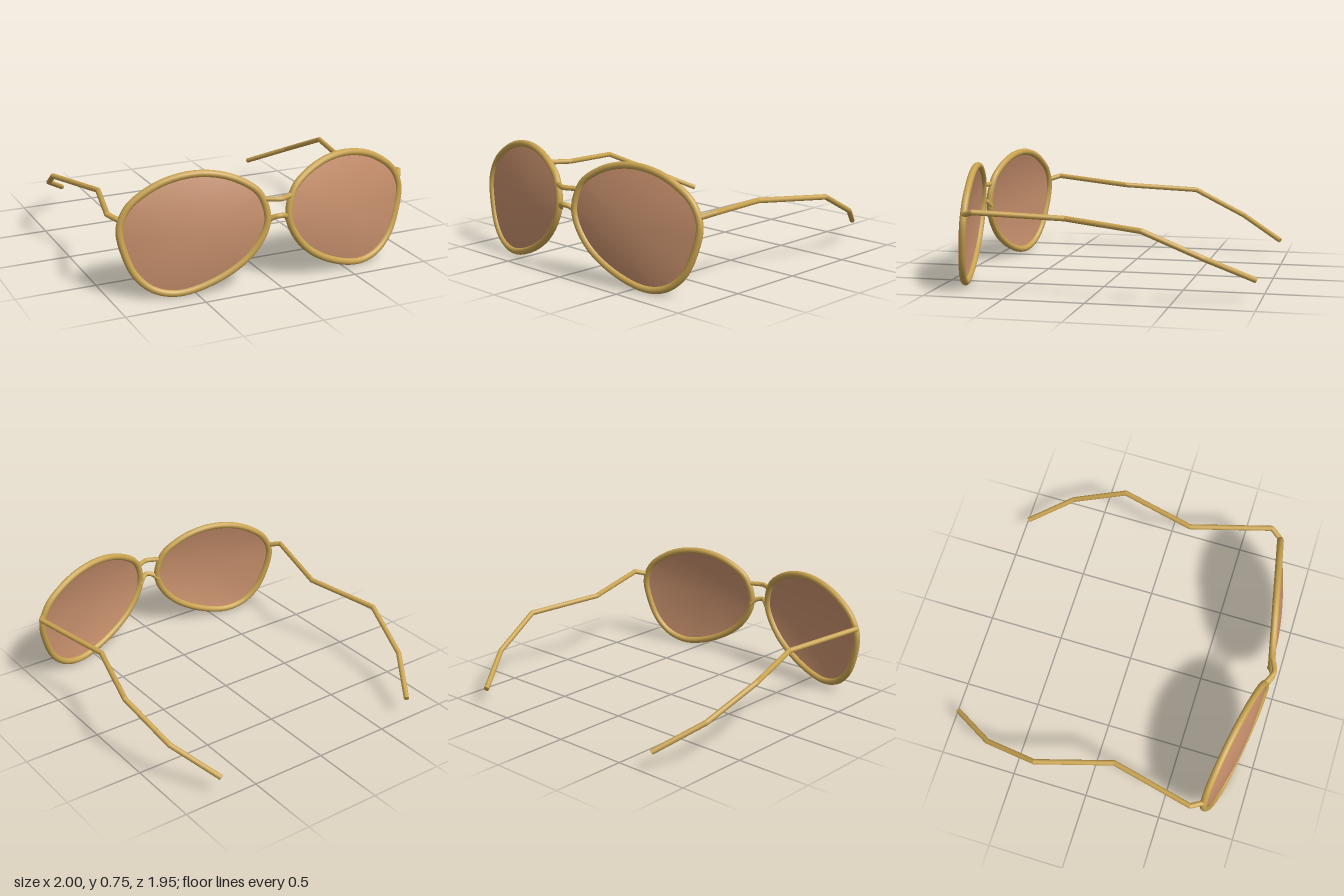
import * as THREE from 'three';

const V = (x, y, z) => new THREE.Vector3(x, y, z);

// Outline of one lens (centre line of the rim), seen from the front
const OUTLINE = [
  [0.49, 0.742], [0.65, 0.715], [0.78, 0.655], [0.885, 0.57], [0.938, 0.45],
  [0.91, 0.28], [0.85, 0.15], [0.75, 0.062], [0.61, 0.031], [0.39, 0.09],
  [0.195, 0.213], [0.09, 0.36], [0.071, 0.46], [0.115, 0.595], [0.21, 0.672], [0.34, 0.725],
];

// Plane of the lens: swept back to the outside and tilted forward at the bottom
const planeZ = (x, y) => 0.93 - 0.195 * (x - 0.07) - 0.078 * (y - 0.45);

// Domed lens made of rings that grow from the centre to the rim
function lensGeometry(outline, side) {
  const cx = 0.5, cy = 0.4, rings = 12, n = outline.length;
  const pos = [], index = [];
  for (let r = 0; r <= rings; r++) {
    const s = Math.max(r / rings, 0.001);
    for (const p of outline) {
      const x = cx + (p.x - cx) * s, y = cy + (p.y - cy) * s;
      pos.push(side * x, y, planeZ(x, y) + 0.045 * (1 - s * s));
    }
  }
  for (let r = 0; r < rings; r++) {
    for (let i = 0; i < n; i++) {
      const a = r * n + i, b = r * n + (i + 1) % n, c = a + n, d = b + n;
      // the outline runs clockwise on the +x side
      if (side > 0) index.push(a, b, c, b, d, c);
      else index.push(a, c, b, b, c, d);
    }
  }
  const g = new THREE.BufferGeometry();
  g.setAttribute('position', new THREE.Float32BufferAttribute(pos, 3));
  g.setIndex(index);
  g.computeVertexNormals();
  return g;
}

export function createModel() {
  const gold = new THREE.MeshStandardMaterial({ color: 0xc9a350 });
  gold.name = 'gold metal';
  const tint = new THREE.MeshStandardMaterial({ color: 0xc68f6c, side: THREE.DoubleSide });
  tint.name = 'brown lens';

  const model = new THREE.Group();
  model.name = 'sunglasses';
  const add = (parent, name, geometry, material) => {
    const mesh = new THREE.Mesh(geometry, material);
    mesh.name = name;
    parent.add(mesh);
    return mesh;
  };

  // Straight wire pieces with rounded joints at the bends
  const wire = (name, points, radius) => {
    const group = new THREE.Group();
    group.name = name;
    for (let i = 0; i < points.length - 1; i++) {
      const a = points[i], b = points[i + 1];
      const dir = b.clone().sub(a);
      const rod = add(group, 'rod', new THREE.CylinderGeometry(radius, radius, dir.length(), 14), gold);
      rod.position.copy(a).add(b).multiplyScalar(0.5);
      rod.quaternion.setFromUnitVectors(V(0, 1, 0), dir.normalize());
      if (i > 0) add(group, 'bend', new THREE.SphereGeometry(radius, 14, 10), gold).position.copy(a);
    }
    model.add(group);
  };

  for (const side of [1, -1]) {
    const label = side > 0 ? 'left' : 'right';
    const curve = new THREE.CatmullRomCurve3(
      OUTLINE.map(([x, y]) => V(x, y, planeZ(x, y))), true);
    const outline = curve.getSpacedPoints(96).slice(0, 96);

    // Rim and lens
    const rimCurve = new THREE.CatmullRomCurve3(
      outline.map((p) => V(side * p.x, p.y, p.z)), true);
    add(model, label + 'Rim', new THREE.TubeGeometry(rimCurve, 120, 0.022, 12, true), gold);
    add(model, label + 'Lens', lensGeometry(outline, side), tint);

    // Temple arm from the hinge to the ear tip
    wire(label + 'Temple', [
      V(side * 0.935, 0.5, 0.755), V(side * 0.982, 0.522, 0.685),
      V(side * 0.85, 0.483, 0.155), V(side * 0.982, 0.445, -0.335),
      V(side * 0.905, 0.283, -0.69), V(side * 0.73, 0.137, -0.97),
    ], 0.017);
  }

  // Two bridges, bowed forward; the lower one also arches up
  const bridge = (name, x, yEnd, yMid) => {
    const curve = new THREE.CatmullRomCurve3([
      V(-x, yEnd, 0.92), V(-x * 0.55, yEnd + (yMid - yEnd) * 0.75, 0.94), V(0, yMid, 0.957),
      V(x * 0.55, yEnd + (yMid - yEnd) * 0.75, 0.94), V(x, yEnd, 0.92),
    ]);
    add(model, name, new THREE.TubeGeometry(curve, 32, 0.016, 12), gold);
  };
  bridge('upperBridge', 0.088, 0.56, 0.56);
  bridge('lowerBridge', 0.072, 0.412, 0.455);

  return model;
}
